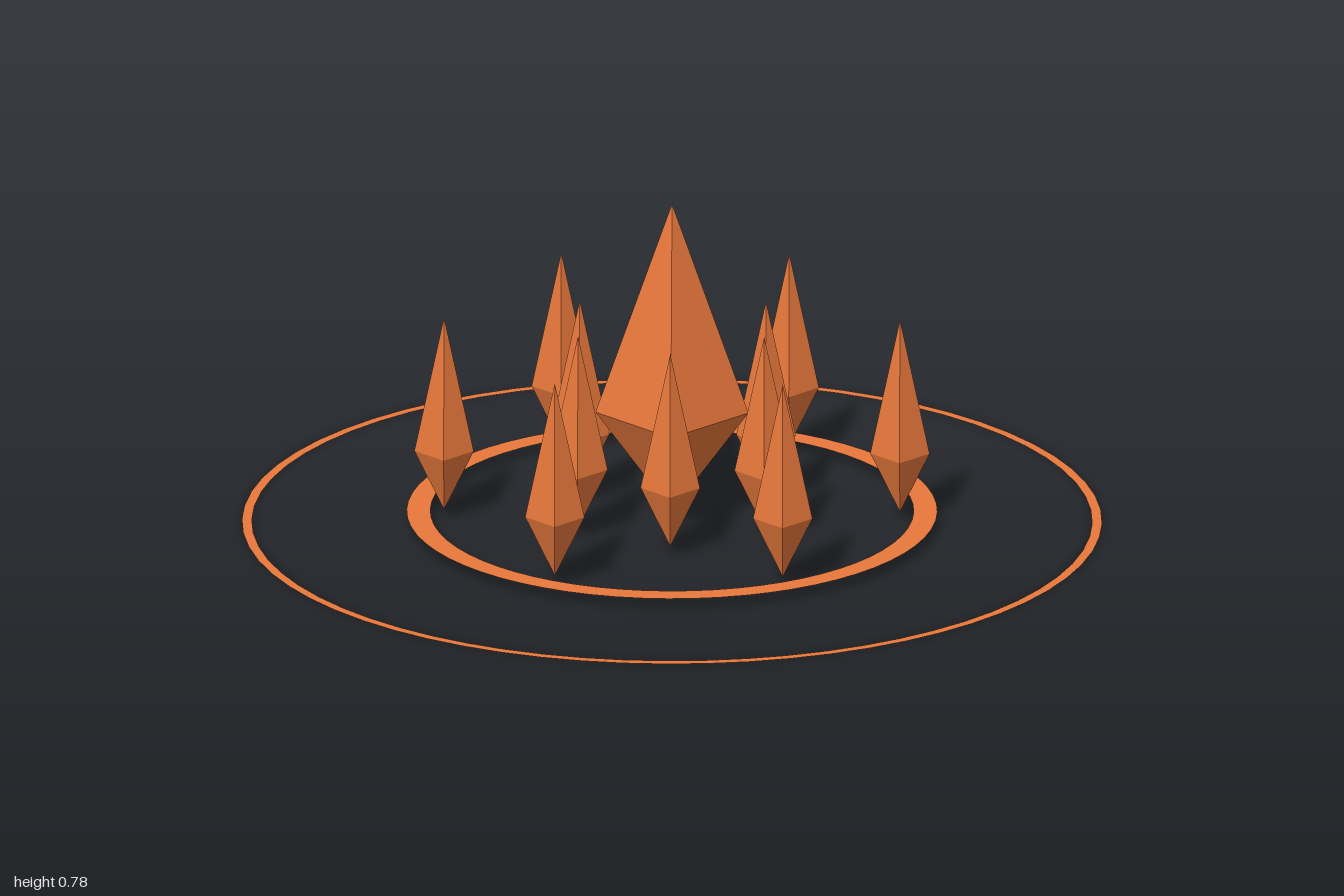
import * as THREE from 'three';

const BASE = 0.026; // height of the crystal tips and the inner ring

export function createModel() {
  const model = new THREE.Group();
  const material = new THREE.MeshStandardMaterial({ color: 0xe8783c, flatShading: true });
  const ringMaterial = new THREE.MeshStandardMaterial({ color: 0xe8783c, side: THREE.DoubleSide });

  // Four-sided crystal: an octahedron with its waist pulled towards the bottom tip
  function crystalGeometry(radius, waist, top) {
    const geometry = new THREE.OctahedronGeometry(1, 0);
    const p = geometry.attributes.position;
    for (let i = 0; i < p.count; i++) {
      const y = p.getY(i);
      const height = y > 0.5 ? top : y < -0.5 ? BASE : waist;
      p.setXYZ(i, p.getX(i) * radius, height, p.getZ(i) * radius);
    }
    geometry.computeVertexNormals();
    return geometry;
  }

  function addRing(name, inner, outer, y) {
    const ring = new THREE.Mesh(new THREE.RingGeometry(inner, outer, 64), ringMaterial);
    ring.name = name;
    ring.rotation.x = -Math.PI / 2;
    ring.position.y = y;
    model.add(ring);
  }

  // Six small crystals standing on a circle, all facing the same way
  const smallCrystal = crystalGeometry(0.069, 0.17, 0.5);
  function addCircle(name, radius, startAngle) {
    const circle = new THREE.Group();
    circle.name = name;
    for (let i = 0; i < 6; i++) {
      const a = startAngle + (i * Math.PI) / 3;
      const crystal = new THREE.Mesh(smallCrystal, material);
      crystal.name = 'smallCrystal';
      crystal.position.set(radius * Math.cos(a), 0, radius * Math.sin(a));
      circle.add(crystal);
    }
    model.add(circle);
  }

  // Flat ground rings
  addRing('outerRing', 0.977, 1, 0);
  addRing('innerRing', 0.562, 0.617, BASE);

  // Crystals
  const centre = new THREE.Mesh(crystalGeometry(0.178, 0.268, 0.782), material);
  centre.name = 'centralCrystal';
  model.add(centre);
  addCircle('innerCrystals', 0.25, Math.PI / 6);
  addCircle('outerCrystals', 0.53, 0);

  return model;
}
